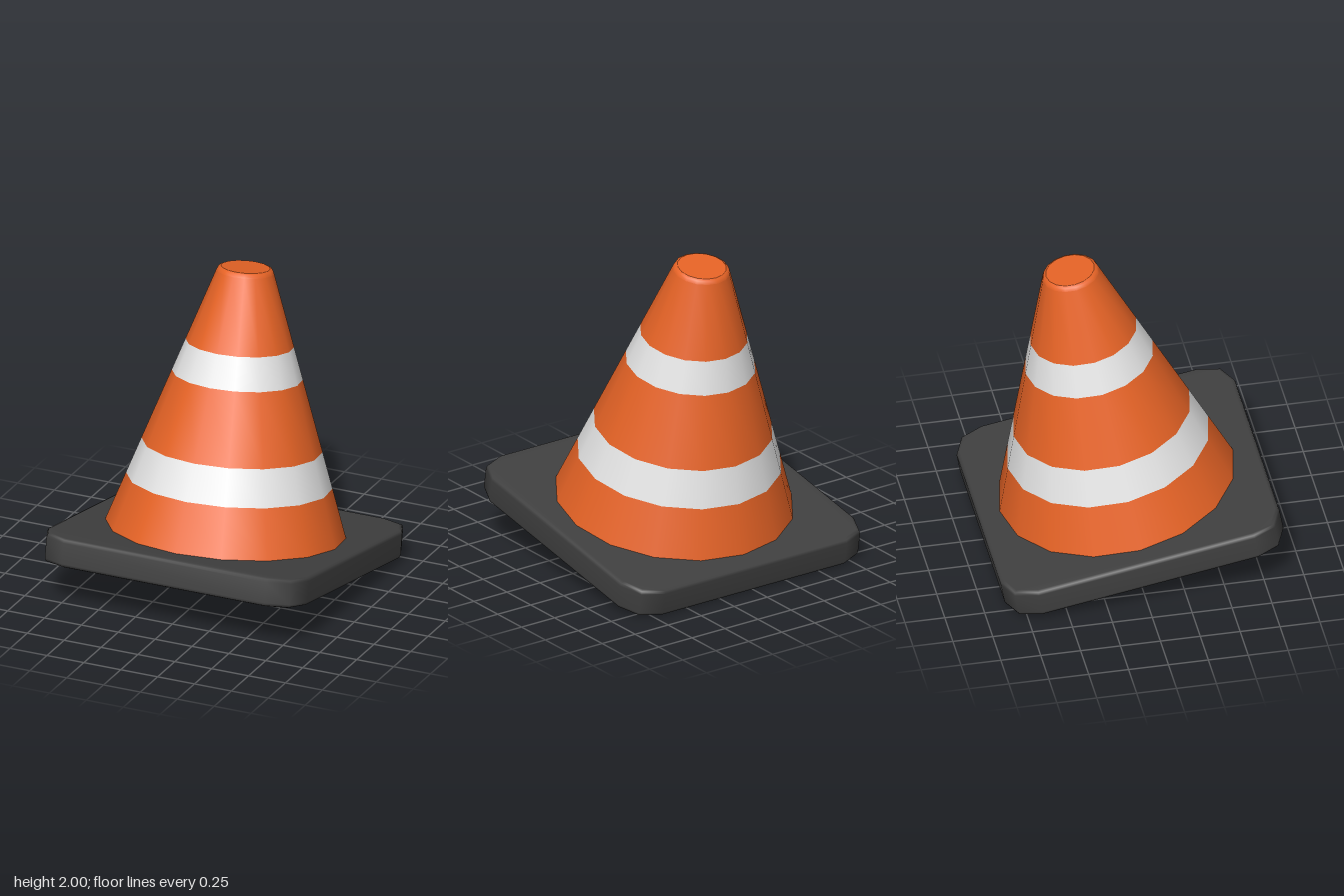
import * as THREE from 'three';
import { mergeVertices } from 'three/addons/utils/BufferGeometryUtils.js';

const SIDES = 16;

function makeMaterial(name, color) {
  const material = new THREE.MeshStandardMaterial({ color });
  material.name = name;
  return material;
}

// Square slab with two-step rounded corners and softly bevelled edges
function slabGeometry(half, thickness, cornerRadius, bevel) {
  const points = [];
  for (let corner = 0; corner < 4; corner++) {
    const middle = Math.PI / 4 + (corner * Math.PI) / 2;
    const cx = Math.sign(Math.cos(middle)) * (half - cornerRadius);
    const cy = Math.sign(Math.sin(middle)) * (half - cornerRadius);
    for (let step = 0; step <= 2; step++) {
      const a = (corner * Math.PI) / 2 + (step * Math.PI) / 4;
      points.push(new THREE.Vector2(cx + cornerRadius * Math.cos(a), cy + cornerRadius * Math.sin(a)));
    }
  }
  const extruded = new THREE.ExtrudeGeometry(new THREE.Shape(points), {
    depth: thickness - 2 * bevel,
    bevelThickness: bevel,
    bevelSize: bevel,
    bevelOffset: -bevel,
    bevelSegments: 2,
  });
  extruded.deleteAttribute('normal');
  extruded.deleteAttribute('uv');
  const geometry = mergeVertices(extruded, 1e-4);
  geometry.computeVertexNormals();
  geometry.rotateX(-Math.PI / 2);
  geometry.translate(0, bevel, 0);
  return geometry;
}

export function createModel() {
  const orange = makeMaterial('orange plastic', 0xe86426);
  const white = makeMaterial('white band', 0xe6e6e6);
  const rubber = makeMaterial('dark rubber', 0x404040);

  const model = new THREE.Group();
  model.name = 'trafficCone';

  // The whole cone leans back, resting on the rear edge of its base
  const leaning = new THREE.Group();
  leaning.name = 'leaningCone';
  leaning.position.set(0, 0.15, 0.016);
  leaning.rotation.x = THREE.MathUtils.degToRad(-10);
  model.add(leaning);

  const add = (name, geometry, material, y = 0, z = -0.008) => {
    const mesh = new THREE.Mesh(geometry, material);
    mesh.name = name;
    mesh.position.set(0, y, z);
    leaning.add(mesh);
    return mesh;
  };

  // Base
  add('base', slabGeometry(0.887, 0.183, 0.2, 0.025), rubber, 0, 0);

  // Cone body: bands stacked along one straight taper
  const radiusAt = (y) => 0.805 - 0.3436 * y;
  const lathe = (pairs) =>
    new THREE.LatheGeometry(pairs.map(([r, y]) => new THREE.Vector2(r, y)), SIDES);
  const bands = [
    ['lowerBody', 0.175, 0.489, orange],
    ['lowerStripe', 0.489, 0.717, white],
    ['middleBody', 0.717, 1.165, orange],
    ['upperStripe', 1.165, 1.368, white],
    ['upperBody', 1.368, 1.825, orange],
  ];
  for (const [name, y0, y1, material] of bands) {
    add(name, lathe([[radiusAt(y0), y0], [radiusAt(y1), y1]]), material);
  }

  // Rounded rim and flat cap
  add('topRim', lathe([[radiusAt(1.825), 1.825], [0.169, 1.844], [0.152, 1.852]]), orange);
  const cap = new THREE.CircleGeometry(0.152, SIDES);
  cap.rotateX(-Math.PI / 2);
  add('topCap', cap, orange, 1.852);

  return model;
}
